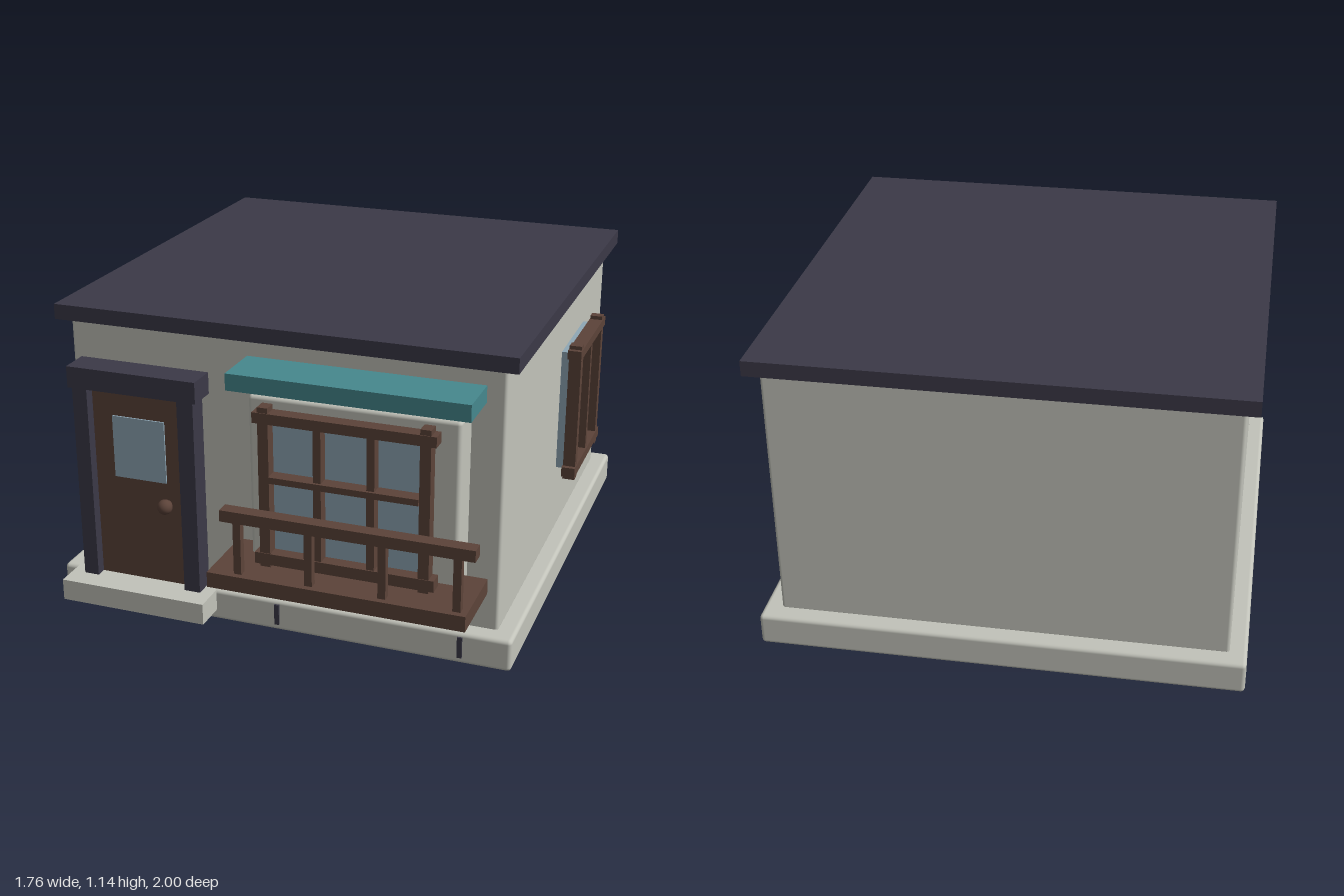
import * as THREE from 'three';
import { RoundedBoxGeometry } from 'three/addons/geometries/RoundedBoxGeometry.js';

const mat = (name, color) => {
  const m = new THREE.MeshStandardMaterial({ color });
  m.name = name;
  return m;
};

export function createModel() {
  const stone = mat('pale plaster', 0xc2c3ba);
  const slate = mat('dark slate', 0x3b3947);
  const wood = mat('brown wood', 0x5c4339);
  const glass = mat('blue glass', 0x8fa8b6);
  const teal = mat('teal awning', 0x46888e);

  const house = new THREE.Group();
  house.name = 'house';

  // Box from its limits on each axis; a radius rounds the edges
  function box(parent, name, material, [x0, x1], [y0, y1], [z0, z1], radius = 0) {
    const size = [x1 - x0, y1 - y0, z1 - z0];
    const geometry = radius
      ? new RoundedBoxGeometry(...size, 2, radius)
      : new THREE.BoxGeometry(...size);
    const mesh = new THREE.Mesh(geometry, material);
    mesh.name = name;
    mesh.position.set((x0 + x1) / 2, (y0 + y1) / 2, (z0 + z1) / 2);
    parent.add(mesh);
    return mesh;
  }
  function group(name) {
    const g = new THREE.Group();
    g.name = name;
    house.add(g);
    return g;
  }

  // Main body
  box(house, 'plinth', stone, [-0.882, 0.858], [0, 0.12], [-1, 0.75], 0.015);
  box(house, 'walls', stone, [-0.82, 0.792], [0.11, 1.092], [-0.933, 0.683], 0.012);
  box(house, 'roof', slate, [-0.863, 0.837], [1.088, 1.144], [-0.977, 0.722]);
  box(house, 'windowBay', stone, [-0.083, 0.674], [0.22, 0.93], [0.66, 0.804], 0.015);
  box(house, 'awning', teal, [-0.135, 0.723], [0.962, 1.023], [0.67, 0.872]);
  box(house, 'doorStep', stone, [-0.823, -0.253], [0.04, 0.121], [0.66, 0.87]);

  // Narrow slots in the front of the plinth
  for (const x of [-0.703, -0.013, 0.674])
    box(house, 'plinthSlot', slate, [x - 0.009, x + 0.009], [0.026, 0.106], [0.73, 0.757]);

  // Door with surround, pane and knob
  const door = group('door');
  box(door, 'doorLeaf', wood, [-0.716, -0.362], [0.12, 0.863], [0.68, 0.75]);
  box(door, 'doorPane', glass, [-0.638, -0.433], [0.522, 0.759], [0.747, 0.756]);
  box(door, 'doorPost', slate, [-0.773, -0.716], [0.12, 0.863], [0.68, 0.79]);
  box(door, 'doorPost', slate, [-0.362, -0.3], [0.12, 0.863], [0.71, 0.79]);
  box(door, 'doorLintel', slate, [-0.787, -0.286], [0.863, 0.943], [0.68, 0.797]);
  const stem = new THREE.Mesh(new THREE.CylinderGeometry(0.013, 0.013, 0.05, 12), wood);
  stem.name = 'knobStem';
  stem.rotation.x = Math.PI / 2;
  stem.position.set(-0.43, 0.442, 0.765);
  const knob = new THREE.Mesh(new THREE.SphereGeometry(0.028, 20, 14), wood);
  knob.name = 'doorKnob';
  knob.position.set(-0.43, 0.442, 0.782);
  door.add(stem, knob);

  // Window facing +z about its own centre line: posts, overhanging rails, bars, glass
  function windowUnit(name, { half, post, posts, rails, bars, barWidth, cross }) {
    const g = group(name);
    const depth = [0.033, 0.08];
    for (const s of [-1, 1]) {
      const a = s * half, b = s * (half - post);
      box(g, 'windowPost', wood, [Math.min(a, b), Math.max(a, b)], posts, depth);
    }
    for (const r of rails)
      box(g, 'windowRail', wood, [-half - 0.019, half + 0.019], r, [0.031, 0.083]);
    for (const x of bars)
      box(g, 'windowBar', wood, [x - barWidth / 2, x + barWidth / 2],
        [rails[1][1], rails[0][0]], [0.034, 0.078]);
    if (cross) box(g, 'windowCrossBar', wood, [post - half, half - post], cross, [0.034, 0.088]);
    box(g, 'windowGlass', glass, [-half + 0.017, half - 0.017],
      [rails[1][0] + 0.02, rails[0][1] - 0.02], [0.002, 0.036]);
    return g;
  }
  const frontWindow = windowUnit('frontWindow', {
    half: 0.305, post: 0.038, posts: [0.333, 0.925], rails: [[0.868, 0.906], [0.343, 0.385]],
    bars: [-0.093, 0.097], barWidth: 0.028, cross: [0.655, 0.678],
  });
  frontWindow.position.set(0.293, 0, 0.812);
  const sideWindow = windowUnit('sideWindow', {
    half: 0.211, post: 0.037, posts: [0.373, 0.917], rails: [[0.868, 0.903], [0.39, 0.428]],
    bars: [0], barWidth: 0.026,
  });
  sideWindow.rotation.y = Math.PI / 2;
  sideWindow.position.set(0.799, 0, -0.316);

  // Balcony below the front window
  const balcony = group('balcony');
  box(balcony, 'balconyFloor', wood, [-0.168, 0.758], [0.276, 0.333], [0.72, 1]);
  box(balcony, 'handrail', wood, [-0.118, 0.783], [0.53, 0.572], [0.938, 0.989]);
  for (const x of [-0.061, 0.199, 0.461, 0.721])
    box(balcony, 'baluster', wood, [x - 0.014, x + 0.014], [0.333, 0.53], [0.95, 0.978]);

  return house;
}
